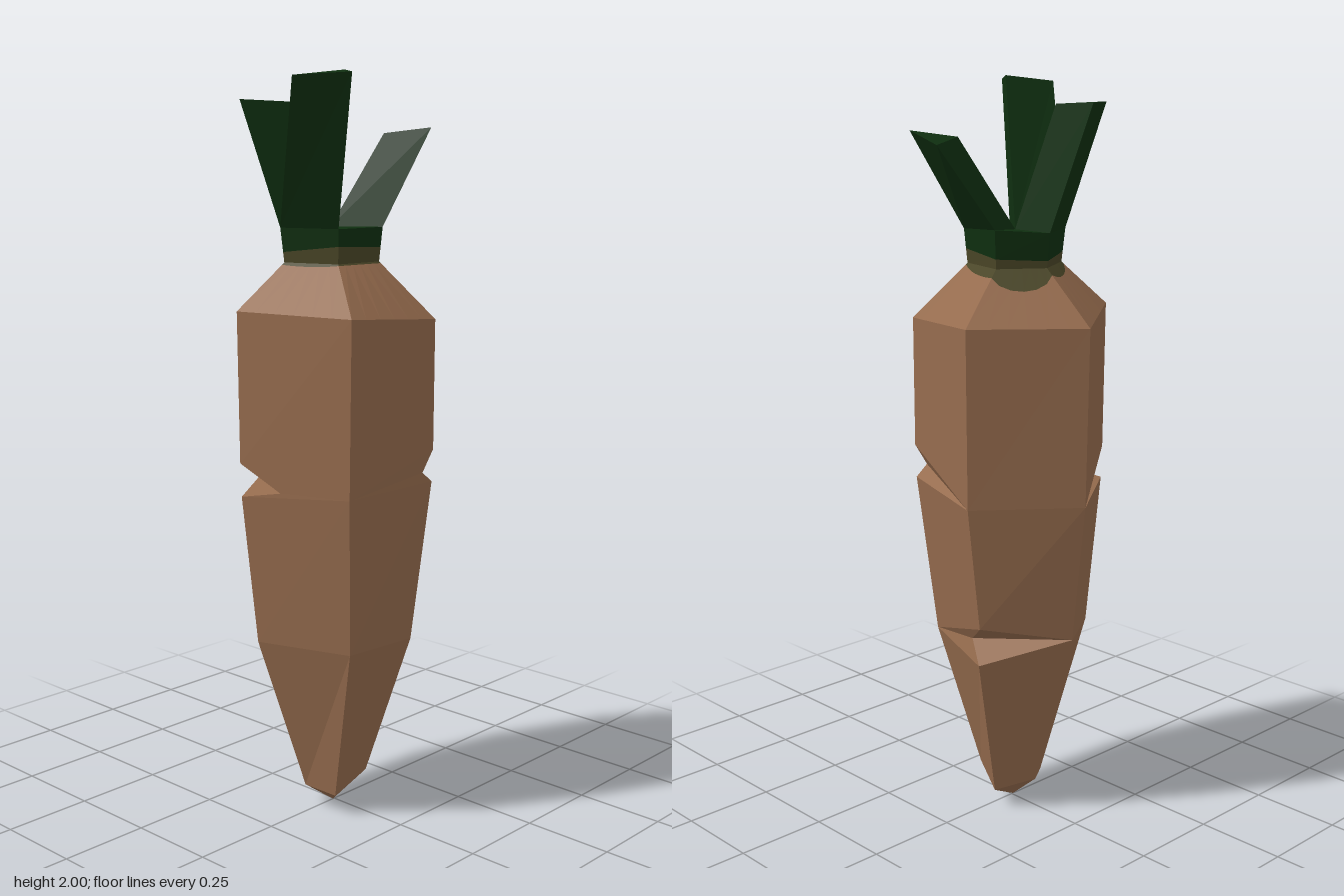
import * as THREE from 'three';

const V = (x, y, z) => new THREE.Vector3(x, y, z);
const mix = (a, b, t) => a.clone().lerp(b, t);

// Fan-triangulates a polygon into a flat list of corners
function face(list, ...pts) {
  for (let i = 1; i < pts.length - 1; i++) list.push(pts[0], pts[i], pts[i + 1]);
}

function facetedMesh(name, corners, material) {
  const g = new THREE.BufferGeometry().setFromPoints(corners);
  g.computeVertexNormals();
  const m = new THREE.Mesh(g, material);
  m.name = name;
  return m;
}

// Joins two pentagon rings with side quads
function band(list, low, high) {
  for (let i = 0; i < 5; i++) {
    const j = (i + 1) % 5;
    face(list, low[i], low[j], high[j], high[i]);
  }
}

export function createModel() {
  const skin = new THREE.MeshStandardMaterial({ color: 0x966c4e, flatShading: true });
  skin.name = 'brown skin';
  const green = new THREE.MeshStandardMaterial({ color: 0x0f2f10, flatShading: true });
  green.name = 'dark green';
  const olive = new THREE.MeshStandardMaterial({ color: 0x4a4627, flatShading: true });
  olive.name = 'olive';
  const model = new THREE.Group();
  model.name = 'rootVegetable';

  // Pentagon rings; corners run front-left, front-right, right, back, left as seen from the front
  const foot = [V(-0.075, 0.055, 0.075), V(0.05, 0.095, 0.075), V(0.095, 0.055, -0.03), V(0, 0.08, -0.095), V(-0.085, 0.06, -0.03)];
  const lower = [V(-0.13, 0.5, 0.18), V(0.115, 0.49, 0.18), V(0.2, 0.47, -0.08), V(-0.005, 0.53, -0.228), V(-0.215, 0.5, -0.08)];
  const middle = [V(-0.165, 0.93, 0.21), V(0.157, 0.93, 0.213), V(0.25, 0.915, -0.095), V(0, 0.91, -0.275), V(-0.26, 0.91, -0.09)];
  const shoulder = [V(-0.17, 1.395, 0.22), V(0.155, 1.37, 0.22), V(0.253, 1.385, -0.095), V(-0.005, 1.38, -0.28), V(-0.265, 1.4, -0.095)];
  const stemTop = [V(-0.09, 1.61, 0.1), V(0.07, 1.61, 0.108), V(0.118, 1.62, -0.06), V(0, 1.61, -0.14), V(-0.14, 1.61, -0.06)];
  const neck = stemTop.map((p) => V(p.x * 0.93, 1.52, p.z * 0.93));

  // Upper lips of the notches replace the lower ring corners above each cut
  const lowerLip = lower.slice();
  lowerLip[2] = V(0.21, 0.58, -0.095);
  const middleLip = middle.slice();
  middleLip[1] = V(0.157, 1.02, 0.217);
  middleLip[4] = V(-0.262, 1.0, -0.092);

  // Root body
  const body = [];
  const tip = V(-0.005, 0, 0);
  for (let i = 0; i < 5; i++) face(body, tip, foot[(i + 1) % 5], foot[i]);
  band(body, foot, lower);
  band(body, lowerLip, middle);
  band(body, middleLip, shoulder);

  // Notches: open at one edge, taper to the next, bite into the side behind
  const notch = (ring, lip, edge, taper, behind, inner, flip) => {
    const lo = ring[edge], hi = lip[edge], end = ring[taper], k = ring[behind];
    const tris = [[lo, end, inner], [hi, inner, end], [k, lo, inner], [k, inner, hi]];
    tris.forEach((t) => face(body, ...(flip ? t.reverse() : t)));
  };
  notch(middle, middleLip, 1, 2, 0, V(0.12, 0.96, 0.212), false);
  notch(lower, lowerLip, 2, 3, 1, V(0.167, 0.525, -0.02), false);
  notch(middle, middleLip, 4, 3, 0, V(-0.225, 0.93, 0.02), true);

  // Sloping shoulder with a curved olive stain around the neck
  const stain = [];
  const edgeT = [0.97, 0.97, 0.85, 0.88, 0.95];
  const bulge = [0, 0.05, 0.25, 0.12, 0.03];
  const steps = 6;
  for (let i = 0; i < 5; i++) {
    const j = (i + 1) % 5;
    const at = (u) => {
      const b = mix(shoulder[i], shoulder[j], u), t = mix(neck[i], neck[j], u);
      const h = edgeT[i] * (1 - u) + edgeT[j] * u - bulge[i] * 4 * u * (1 - u);
      return [b, mix(b, t, h), t];
    };
    for (let s = 0; s < steps; s++) {
      const a = at(s / steps), b = at((s + 1) / steps);
      face(body, a[0], b[0], b[1], a[1]);
      face(stain, a[1], b[1], b[2], a[2]);
    }
  }
  const heights = [0.5, 0.42, 0.25, 0.2, 0.3];
  const stainTop = neck.map((p, i) => mix(p, stemTop[i], heights[i]));
  band(stain, neck, stainTop);
  model.add(facetedMesh('rootBody', body, skin));
  model.add(facetedMesh('neckStain', stain, olive));

  // Stem stub with a flat top
  const stem = [];
  const centre = V(-0.008, 1.61, -0.005);
  band(stem, stainTop, stemTop);
  for (let i = 0; i < 5; i++) face(stem, stemTop[i], stemTop[(i + 1) % 5], centre);
  model.add(facetedMesh('stem', stem, green));

  // Three cut stalks: triangular prisms rising from the stem
  const stalks = [
    ['frontStalk', 4, V(-0.28, 1.985, 0.125), V(-0.23, 1.99, 0.275), V(-0.148, 2, 0.175)],
    ['backStalk', 3, V(-0.06, 1.935, -0.23), V(-0.19, 1.935, -0.155), V(-0.06, 1.93, -0.1)],
    ['sideStalk', 1, V(0.225, 1.865, 0.14), V(0.275, 1.835, -0.02), V(0.155, 1.85, 0.035)],
  ];
  for (const [name, i, a, b, c] of stalks) {
    const base = [stemTop[i], stemTop[(i + 1) % 5], centre];
    const top = [a, b, c];
    const list = [];
    for (let k = 0; k < 3; k++) {
      const n = (k + 1) % 3;
      face(list, base[k], base[n], top[n], top[k]);
    }
    face(list, a, b, c);
    model.add(facetedMesh(name, list, green));
  }
  return model;
}
